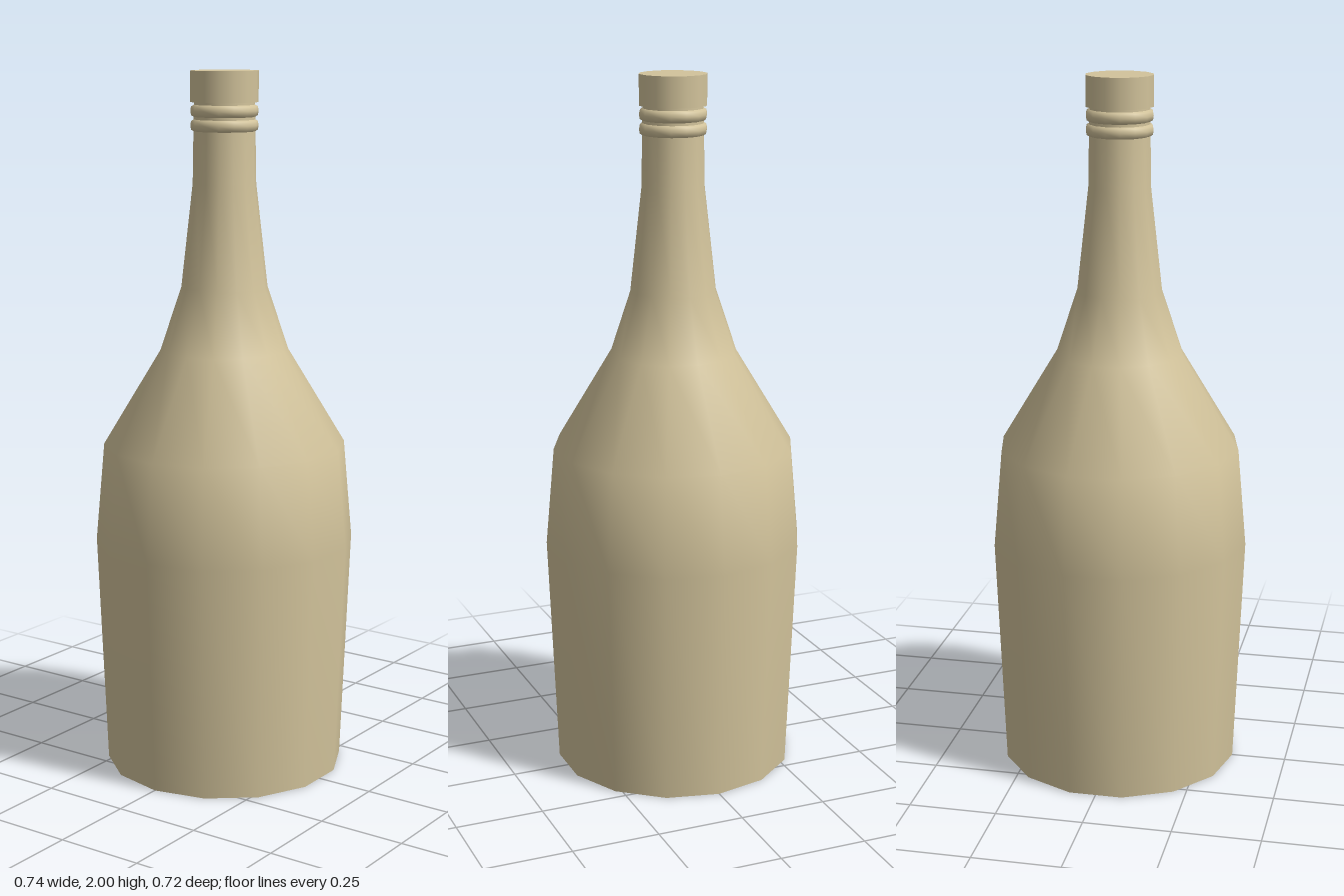
import * as THREE from 'three';

const SIDES = 14;

export function createModel() {
  const bottle = new THREE.Group();
  bottle.name = 'bottle';
  const tan = new THREE.MeshStandardMaterial({ color: 0xd2c39b });
  tan.name = 'tan';

  const add = (name, geometry) => {
    const mesh = new THREE.Mesh(geometry, tan);
    mesh.name = name;
    bottle.add(mesh);
    return mesh;
  };
  // Turned part, profile given from bottom to top as [radius, height]
  const turn = (name, profile) => add(name, new THREE.LatheGeometry(
    profile.map(([r, y]) => new THREE.Vector2(r, y)), SIDES, Math.PI / 2));
  // Flat disc facing up (1) or down (-1)
  const disc = (name, radius, y, facing) => {
    const geometry = new THREE.CircleGeometry(radius, SIDES);
    geometry.rotateX(-facing * Math.PI / 2);
    add(name, geometry).position.y = y;
  };

  // Body, shoulder and neck
  turn('body', [
    [0.343, 0], [0.37, 0.67], [0.345, 0.95], [0.182, 1.22],
    [0.122, 1.4], [0.089, 1.69], [0.085, 1.92],
  ]);
  disc('base', 0.343, 0, -1);

  // Two rounded rings below the cap
  for (const [name, y] of [['lowerRing', 1.832], ['upperRing', 1.872]]) {
    turn(name, [
      [0.083, y], [0.093, y + 0.006], [0.095, y + 0.018],
      [0.093, y + 0.03], [0.083, y + 0.036],
    ]);
  }

  // Cap with flat top and underside
  turn('cap', [[0.095, 1.914], [0.095, 2]]);
  disc('capTop', 0.095, 2, 1);
  disc('capUnderside', 0.095, 1.914, -1);

  return bottle;
}
